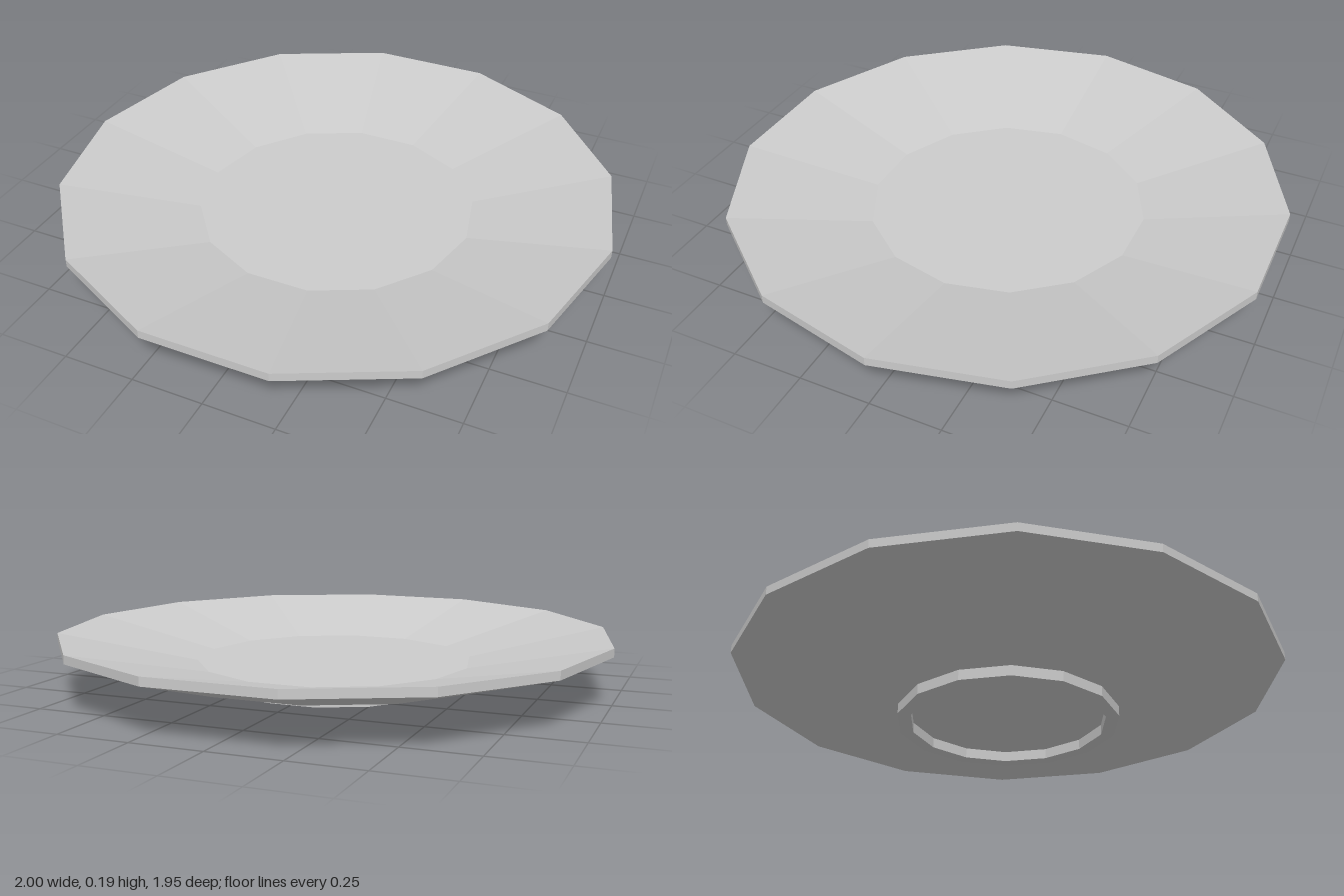
import * as THREE from 'three';

const SIDES = 14;

// Turned part; profile runs from the underside outwards, then up and back in.
function turned(name, profile) {
  const points = profile.map(([r, y]) => new THREE.Vector2(r, y));
  const geometry = new THREE.LatheGeometry(points, SIDES, Math.PI / 2);
  const material = new THREE.MeshStandardMaterial({ color: 0xcccccc, flatShading: true });
  const mesh = new THREE.Mesh(geometry, material);
  mesh.name = name;
  return mesh;
}

export function createModel() {
  const plate = new THREE.Group();
  plate.name = 'plate';

  // Shallow dish: two-step underside, upright rim, sloping inside, flat floor
  plate.add(turned('dish', [
    [0, 0.038], [0.405, 0.038], [0.67, 0.07], [1, 0.165],
    [1, 0.195], [0.5, 0.09], [0, 0.09],
  ]));

  // Hollow ring the dish stands on
  plate.add(turned('footRing', [
    [0.357, 0.038], [0.357, 0], [0.405, 0], [0.405, 0.038],
  ]));

  return plate;
}
